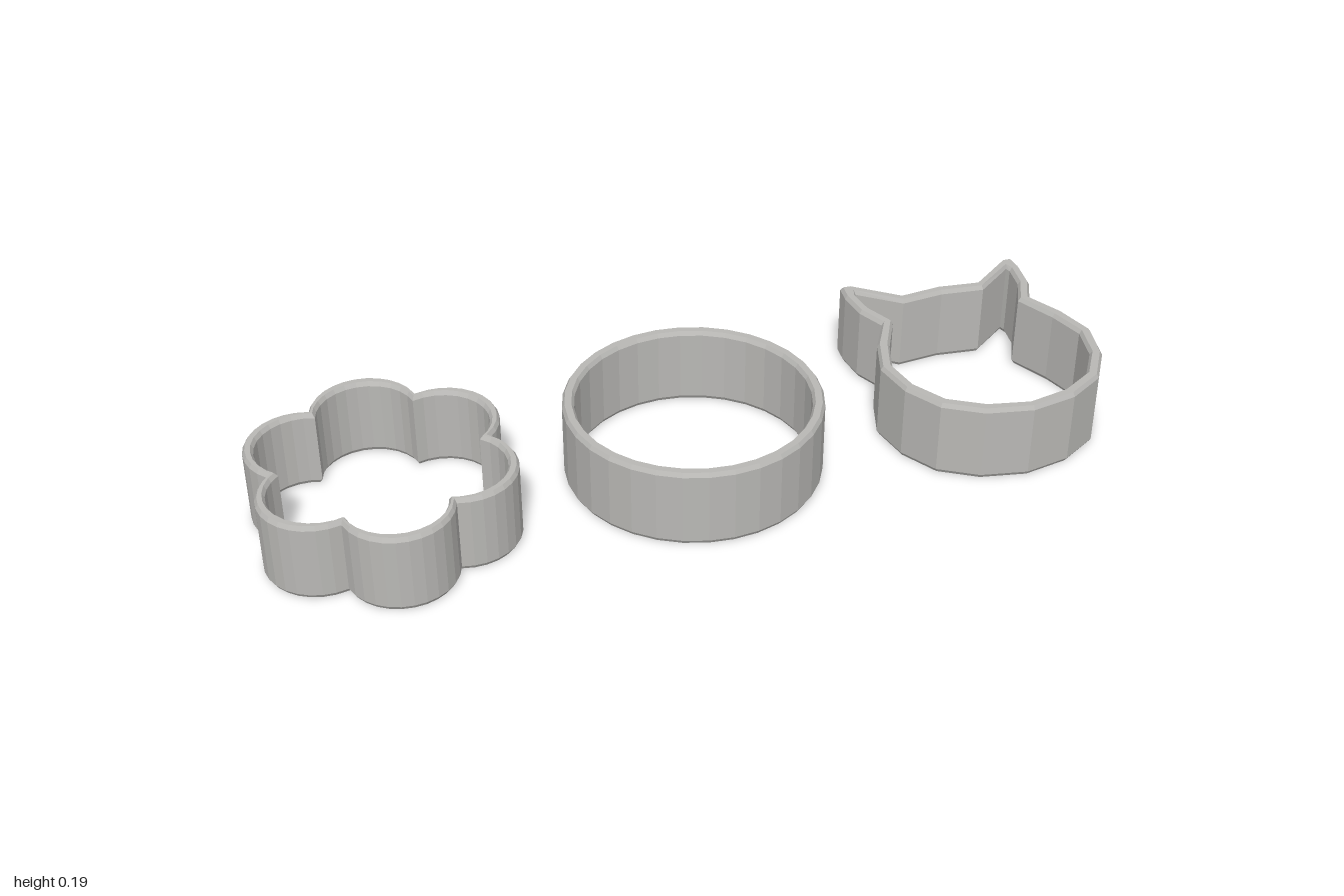
import * as THREE from 'three';

const HEIGHT = 0.192, BEVEL_Y = 0.01, BEVEL = 0.006;

// Outline points are [x, z]; sweeps a closed band between two outlines up to HEIGHT
function cutter(name, outer, inner, material, x, z) {
  const toPoints = (list) => list.map(([px, pz]) => new THREE.Vector2(px, -pz));
  const shape = new THREE.Shape(toPoints(outer));
  // The hole runs opposite to the outer outline so its wall faces inwards
  shape.holes.push(new THREE.Path(toPoints(inner).reverse()));
  const geometry = new THREE.ExtrudeGeometry(shape, {
    depth: HEIGHT - 2 * BEVEL_Y,
    bevelThickness: BEVEL_Y, bevelSize: BEVEL, bevelOffset: -BEVEL, bevelSegments: 1,
  });
  geometry.translate(0, 0, BEVEL_Y);
  geometry.rotateX(-Math.PI / 2);
  const mesh = new THREE.Mesh(geometry, material);
  mesh.name = name;
  mesh.position.set(x, 0, z);
  return mesh;
}

function circleOutline(radius, sides = 32) {
  return Array.from({ length: sides }, (_, i) => {
    const a = (i / sides) * Math.PI * 2;
    return [radius * Math.cos(a), radius * Math.sin(a)];
  });
}

// Six circular lobes, given the radius at the lobe peaks and at the notches
function flowerOutline(peak, notch, steps = 12) {
  const nx = notch / 2, ny = notch * Math.sqrt(3) / 2, rise = peak - ny;
  const r = (rise * rise + nx * nx) / (2 * rise), centre = peak - r;
  const half = Math.atan2(nx, ny - centre);
  const points = [];
  for (let lobe = 0; lobe < 6; lobe++) {
    const turn = lobe * Math.PI / 3 + Math.PI / 2;
    for (let i = 0; i < steps; i++) {
      const a = -half + 2 * half * i / steps;
      const u = centre + r * Math.cos(a), v = r * Math.sin(a);
      points.push([u * Math.cos(turn) - v * Math.sin(turn), u * Math.sin(turn) + v * Math.cos(turn)]);
    }
  }
  return points;
}

// Half outline from chin to crown, mirrored to the other side
function mirrored(half) {
  return [...half, ...half.slice(1, -1).reverse().map(([x, z]) => [-x, z])];
}

export function createModel() {
  const group = new THREE.Group();
  group.name = 'cookieCutters';
  const metal = new THREE.MeshStandardMaterial({ color: 0xb9b8b5 });
  metal.name = 'grey metal';

  group.add(cutter('flowerCutter', flowerOutline(0.312, 0.247), flowerOutline(0.287, 0.223), metal, -0.713, 0.018));
  group.add(cutter('roundCutter', circleOutline(0.3), circleOutline(0.272), metal, 0.008, 0.016));

  // Cat head with two pointed ears
  const catOuter = mirrored([
    [0, 0.291], [0.11, 0.27], [0.198, 0.217], [0.25, 0.131], [0.27, 0.032], [0.24, -0.064],
    [0.195, -0.147], [0.225, -0.212], [0.234, -0.286], [0.23, -0.33], [0.204, -0.33],
    [0.1, -0.25], [0, -0.261],
  ]);
  const catInner = mirrored([
    [0, 0.263], [0.097, 0.243], [0.176, 0.196], [0.223, 0.12], [0.24, 0.032], [0.212, -0.054],
    [0.165, -0.148], [0.198, -0.22], [0.206, -0.284], [0.202, -0.297],
    [0.106, -0.223], [0, -0.234],
  ]);
  group.add(cutter('catCutter', catOuter, catInner, metal, 0.73, 0));
  return group;
}
